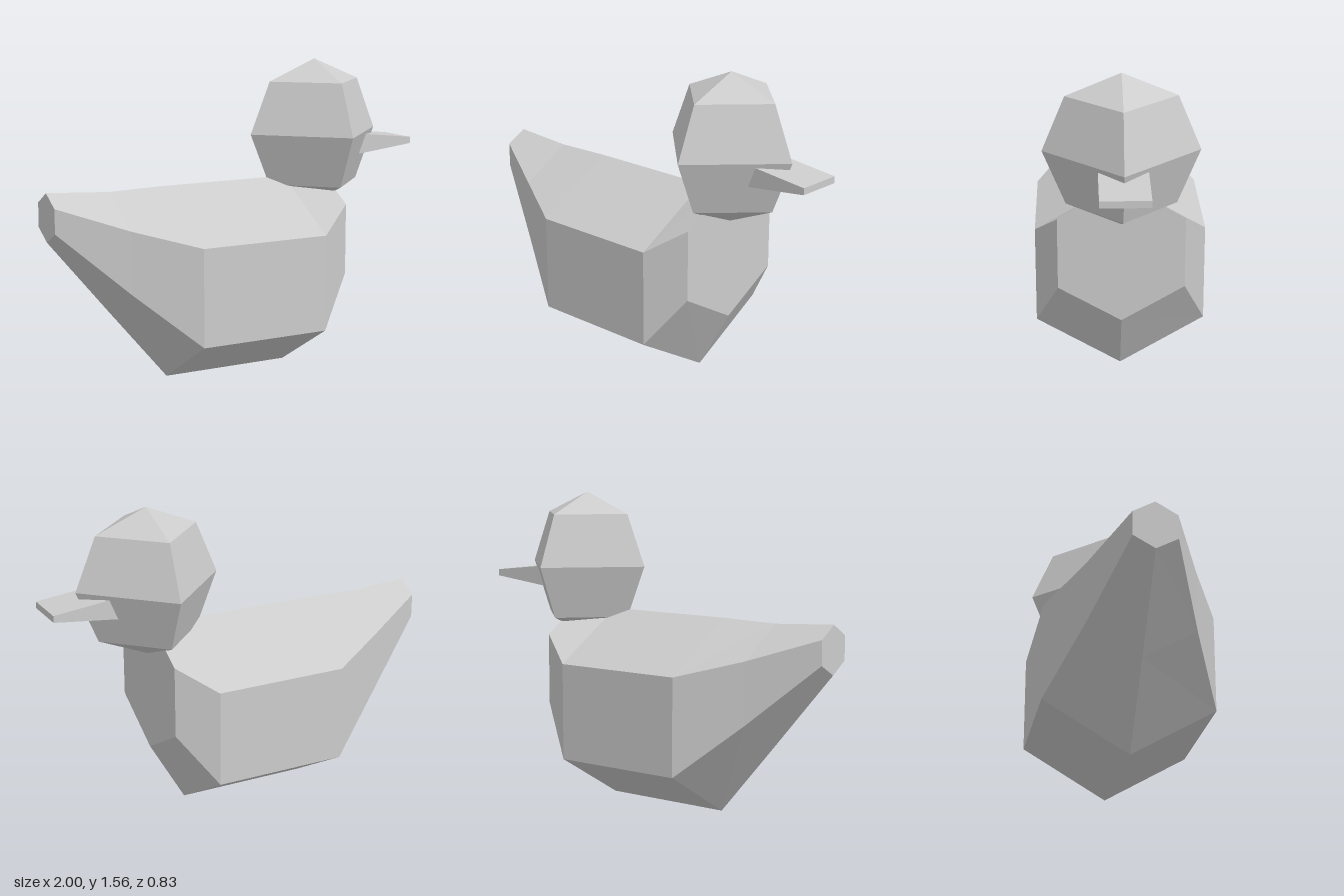
import * as THREE from 'three';

const material = new THREE.MeshStandardMaterial({ color: 0xcccccc, flatShading: true });

// Skins a row of equal-sided cross-sections that run along +x, and caps both ends.
function loft(rings) {
  const n = rings[0].length;
  const index = [];
  for (let r = 0; r < rings.length - 1; r++) {
    for (let i = 0; i < n; i++) {
      const a = r * n + i, b = r * n + (i + 1) % n;
      index.push(a, b, a + n, b, b + n, a + n);
    }
  }
  const last = (rings.length - 1) * n;
  for (let i = 1; i < n - 1; i++) {
    index.push(0, i + 1, i, last, last + i, last + i + 1);
  }
  const geometry = new THREE.BufferGeometry();
  geometry.setAttribute('position', new THREE.Float32BufferAttribute(rings.flat(2), 3));
  geometry.setIndex(index);
  const flat = geometry.toNonIndexed();
  flat.computeVertexNormals();
  return flat;
}

// Six-sided body section with ridges at the back and keel
const hexRing = ([x, halfWidth, top, upper, lower, bottom]) => [
  [x, top, 0], [x, upper, halfWidth], [x, lower, halfWidth],
  [x, bottom, 0], [x, lower, -halfWidth], [x, upper, -halfWidth],
];

// Rectangular beak section
const beakRing = ([x, halfWidth, top, bottom]) => [
  [x, top, -halfWidth], [x, top, halfWidth], [x, bottom, halfWidth], [x, bottom, -halfWidth],
];

export function createModel() {
  const group = new THREE.Group();
  group.name = 'duck';
  const add = (name, geometry) => {
    const mesh = new THREE.Mesh(geometry, material);
    mesh.name = name;
    group.add(mesh);
    return mesh;
  };

  // Body from tail to breast: x, half width, top, upper side, lower side, bottom
  add('body', loft([
    [-1, 0.105, 0.98, 0.92, 0.8, 0.742],
    [-0.68, 0.26, 0.96, 0.81, 0.505, 0.357],
    [-0.38, 0.415, 0.967, 0.726, 0.245, 0],
    [0.295, 0.415, 0.967, 0.726, 0.245, 0],
    [0.48, 0.305, 1.03, 0.85, 0.497, 0.32],
  ].map(hexRing)));

  // Faceted head with corners facing front, back and sides
  add('head', new THREE.SphereGeometry(0.371, 4, 4)).position.set(0.473, 1.19, 0);

  // Tapered beak, rooted inside the head
  add('beak', loft([
    [0.6, 0.115, 1.183, 1.06],
    [1, 0.115, 1.138, 1.105],
  ].map(beakRing)));

  return group;
}
